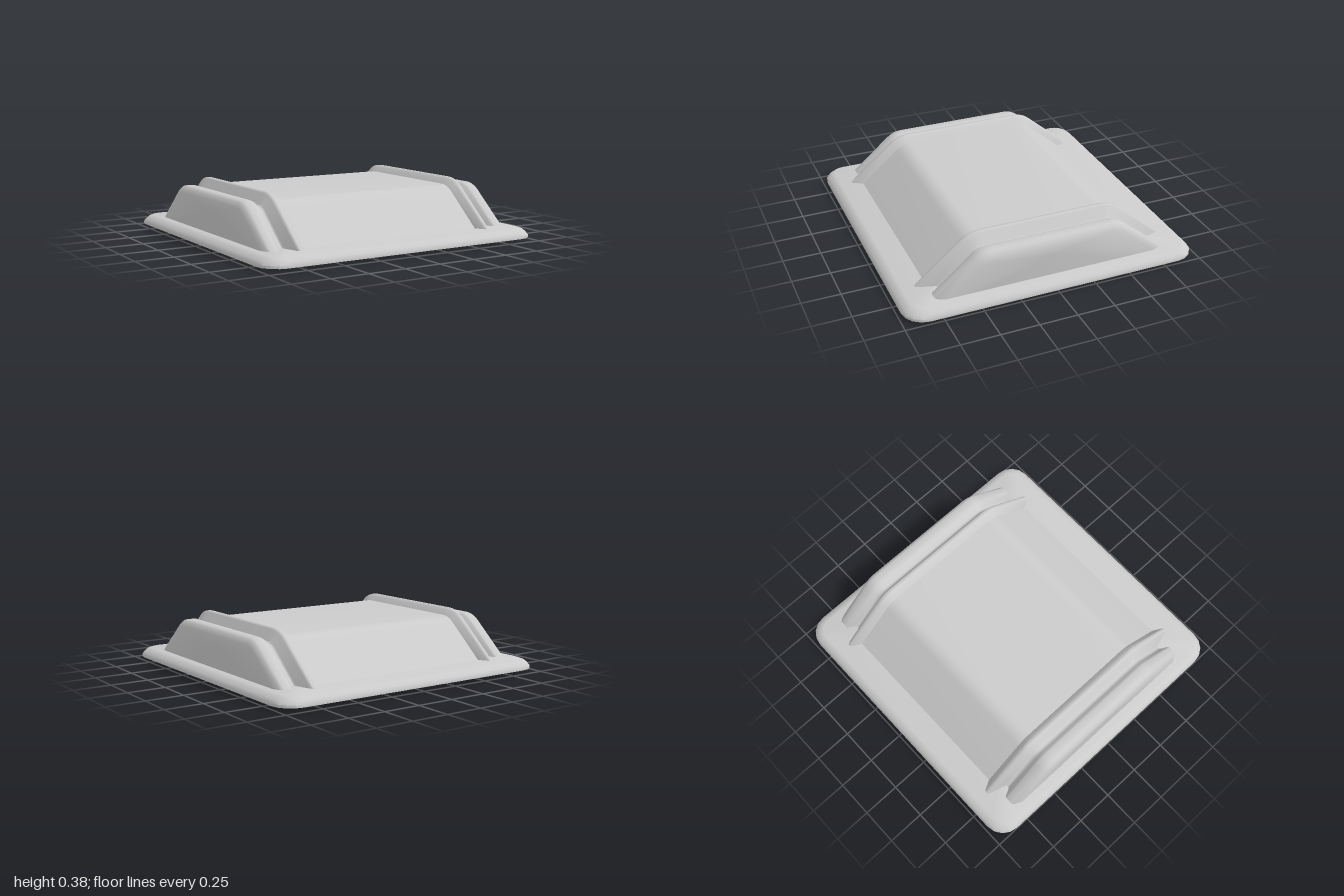
import * as THREE from 'three';
import { toCreasedNormals } from 'three/addons/utils/BufferGeometryUtils.js';

// Skin a row of closed loops (counter-clockwise about the loft direction), capped at both ends
function loft(loops) {
  const pos = [];
  const tri = (...pts) => pts.forEach((p) => pos.push(p.x, p.y, p.z));
  const n = loops[0].length;
  const centre = (loop) => loop.reduce((s, p) => s.add(p), new THREE.Vector3()).divideScalar(n);
  const first = loops[0], last = loops[loops.length - 1];
  const c0 = centre(first), c1 = centre(last);
  for (let j = 0; j < n; j++) {
    const k = (j + 1) % n;
    for (let i = 0; i < loops.length - 1; i++) {
      const a = loops[i], b = loops[i + 1];
      tri(a[j], a[k], b[k]);
      tri(a[j], b[k], b[j]);
    }
    tri(c0, first[k], first[j]);
    tri(c1, last[j], last[k]);
  }
  const geometry = new THREE.BufferGeometry();
  geometry.setAttribute('position', new THREE.Float32BufferAttribute(pos, 3));
  return toCreasedNormals(geometry, 0.8);
}

// Rounded rectangle at height y, pulled in by inset
function plateLoop(y, inset) {
  const r = 0.14 - inset, pts = [];
  for (let q = 0; q < 4; q++) {
    const sx = q === 0 || q === 3 ? 1 : -1, sz = q < 2 ? -1 : 1;
    for (let s = 0; s <= 4; s++) {
      const a = (q + s / 4) * Math.PI / 2;
      pts.push(new THREE.Vector3(sx * 0.86 + r * Math.cos(a), y, sz * 0.84 - r * Math.sin(a)));
    }
  }
  return pts;
}

// Sloped, round-shouldered section at x, with its skin offset outwards by e
function bodyLoop(x, e) {
  const slope = THREE.MathUtils.degToRad(40), r = 0.165 + e, foot = 0.065;
  const half = [];
  for (let s = 0; s <= 5; s++) {
    const a = slope * s / 5;
    half.push([0.405 + r * Math.sin(a), 0.17 + r * Math.cos(a)]);
  }
  const [z, y] = half[5];
  const zFoot = z + (y - foot) / Math.tan(slope);
  half.push([zFoot, foot], [zFoot, 0]);
  return [
    ...half.slice().reverse().map(([z, y]) => new THREE.Vector3(x, y, -z)),
    ...half.map(([z, y]) => new THREE.Vector3(x, y, z)),
  ];
}

export function createModel() {
  const group = new THREE.Group();
  const material = new THREE.MeshStandardMaterial({ color: 0xcccccc });
  const add = (name, geometry) => {
    const mesh = new THREE.Mesh(geometry, material);
    mesh.name = name;
    group.add(mesh);
  };

  // Flange with a rounded upper rim
  add('basePlate', loft([
    plateLoop(0.02, 0), plateLoop(0.037, 0), plateLoop(0.055, 0.016),
    plateLoop(0.072, 0.038), plateLoop(0.08, 0.06),
  ]));

  // Half of the skin offset across the width: panel, ridge, groove, side shoulder
  const offsets = [
    [0.65, 0], [0.68, 0.037], [0.69, 0.045], [0.71, 0.045], [0.72, 0.035],
    [0.75, -0.03], [0.758, -0.038], [0.773, -0.039], [0.785, -0.03],
    [0.804, -0.005], [0.815, 0], [0.87, 0], [0.885, -0.01], [0.905, -0.04],
  ];
  const across = [...offsets.slice().reverse().map(([x, e]) => [-x, e]), ...offsets];
  add('raisedBody', loft(across.map(([x, e]) => bodyLoop(x, e))));

  return group;
}
